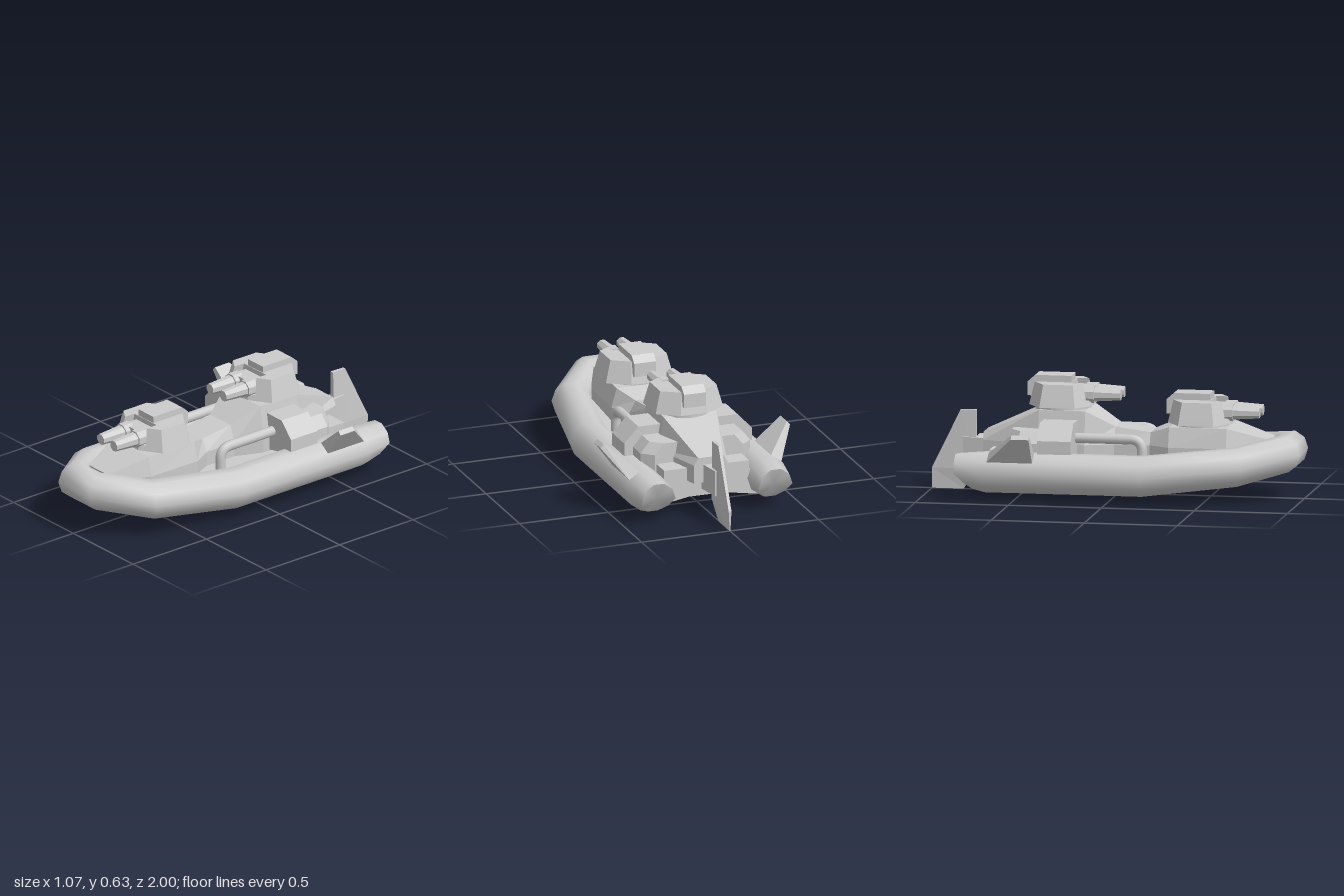
import * as THREE from 'three';

const material = new THREE.MeshStandardMaterial({ color: 0xcccccc });

// Closed solid from rings of [x, y, z]; ends are capped and faces turned outward.
function loft(rings, smooth = false) {
  const n = rings[0].length;
  const pos = rings.flat(2);
  const idx = [];
  for (let r = 0; r < rings.length - 1; r++) {
    for (let i = 0; i < n; i++) {
      const a = r * n + i, b = r * n + (i + 1) % n;
      idx.push(a, b, b + n, a, b + n, a + n);
    }
  }
  // caps get their own vertices so that their edges stay sharp
  [rings[0], rings[rings.length - 1]].forEach((ring, end) => {
    const start = pos.length / 3;
    const mid = [0, 1, 2].map(k => ring.reduce((s, p) => s + p[k], 0) / n);
    pos.push(...ring.flat(), ...mid);
    for (let i = 0; i < n; i++) {
      const a = start + i, b = start + (i + 1) % n;
      idx.push(...(end ? [a, b, start + n] : [b, a, start + n]));
    }
  });
  const at = i => new THREE.Vector3().fromArray(pos, i * 3);
  let volume = 0;
  for (let i = 0; i < idx.length; i += 3) {
    volume += at(idx[i]).dot(at(idx[i + 1]).cross(at(idx[i + 2])));
  }
  if (volume < 0) idx.reverse();
  let g = new THREE.BufferGeometry();
  g.setAttribute('position', new THREE.Float32BufferAttribute(pos, 3));
  g.setIndex(idx);
  if (!smooth) g = g.toNonIndexed();
  g.computeVertexNormals();
  return g;
}

// Plan outline of [x, z] raised from y0 to y1, with the top scaled by s.
function raise(points, y0, y1, s = 1) {
  const shape = new THREE.Shape(points.map(([x, z]) => new THREE.Vector2(x, -z)));
  const g = new THREE.ExtrudeGeometry(shape, { depth: y1 - y0, bevelEnabled: false });
  g.rotateX(-Math.PI / 2);
  const p = g.attributes.position;
  for (let i = 0; i < p.count; i++) {
    if (p.getY(i) > (y1 - y0) / 2) p.setXYZ(i, p.getX(i) * s, p.getY(i), p.getZ(i) * s);
  }
  g.translate(0, y0, 0);
  g.computeVertexNormals();
  return g;
}

function add(parent, name, geometry, x = 0, y = 0, z = 0) {
  const mesh = new THREE.Mesh(geometry, material);
  mesh.name = name;
  mesh.position.set(x, y, z);
  parent.add(mesh);
  return mesh;
}

// Inflated collar: ten-sided rings from one stern end round the bow to the other
function collarGeometry() {
  // x, y, z, outward normal x and z, radius
  const half = [
    [0.33, 0.15, -0.81, 1, 0, 0.094], [0.34, 0.15, -0.65, 1, 0, 0.11],
    [0.34, 0.15, 0.19, 1, 0.07, 0.11], [0.265, 0.2, 0.675, 0.9, 0.43, 0.105],
    [0.09, 0.25, 0.905, 0.41, 0.91, 0.1],
  ];
  const other = half.map(([x, y, z, nx, nz, r]) => [-x, y, z, -nx, nz, r]).reverse();
  return loft([...half, ...other].map(([x, y, z, nx, nz, r]) => {
    const ring = [];
    for (let i = 0; i < 10; i++) {
      const a = i / 10 * Math.PI * 2;
      const out = Math.cos(a) * r, up = Math.sin(a) * r;
      // the stern ends are undercut below the middle
      const cut = z < -0.8 ? Math.max(0, -up) : 0;
      ring.push([x + nx * out, y + up, z + nz * out + cut]);
    }
    return ring;
  }), true);
}

function makeTurret(name, y, z) {
  const turret = new THREE.Group();
  turret.name = name;
  turret.position.set(0, y, z);
  const octagon = [[0.075, 0.17], [0.19, 0.095], [0.19, -0.095], [0.075, -0.17],
    [-0.075, -0.17], [-0.19, -0.095], [-0.19, 0.095], [-0.075, 0.17]];
  const notched = [[0.11, 0.147], [0.19, 0.095], [0.19, -0.095], [0.075, -0.17],
    [-0.075, -0.17], [-0.19, -0.095], [-0.19, 0.095], [-0.11, 0.147],
    [-0.11, 0.07], [0.11, 0.07]];
  add(turret, 'turretRing', new THREE.CylinderGeometry(0.15, 0.15, 0.03, 16), 0, 0.005, 0);
  add(turret, 'turretSill', raise(octagon, 0.015, 0.045, 0.96));
  add(turret, 'turretBody', raise(notched.map(([x, w]) => [x * 0.96, w * 0.96]), 0.045, 0.135, 0.87));
  // raised hatch with a chamfered back
  const profile = [[0.055, 0.13], [0.055, 0.17], [-0.14, 0.17], [-0.18, 0.135], [-0.18, 0.06], [-0.1, 0.06]];
  add(turret, 'hatch', loft([-0.062, 0.062].map(x => profile.map(([w, h]) => [x, h, w]))));
  add(turret, 'gunCradle', new THREE.BoxGeometry(0.15, 0.06, 0.1), 0, 0.08, 0.1);
  for (const x of [-0.055, 0.055]) {
    const gun = (part, r0, r1, length, from) => {
      const g = new THREE.CylinderGeometry(r1, r0, length, 8).rotateY(Math.PI / 8).rotateX(Math.PI / 2).toNonIndexed();
      g.computeVertexNormals();
      add(turret, part, g, x, 0.075, from + length / 2);
    };
    gun('gunCollar', 0.048, 0.048, 0.06, 0.12);
    gun('gunBarrel', 0.04, 0.03, 0.15, 0.17);
  }
  return turret;
}

export function createModel() {
  const boat = new THREE.Group();
  boat.name = 'gunBoat';

  add(boat, 'inflatableCollar', collarGeometry());

  // Hull floor and deck: z, half width, edge, middle and deck heights
  const hull = [[-0.65, 0.32, 0.05, 0.088, 0.2], [0.19, 0.32, 0.05, 0.088, 0.2],
    [0.675, 0.25, 0.098, 0.12, 0.23], [0.9, 0.09, 0.155, 0.155, 0.27]];
  add(boat, 'hull', loft(hull.map(([z, w, edge, mid, deck]) => {
    const m = Math.min(0.1, w * 0.6);
    return [[-w, edge, z], [-m, mid, z], [m, mid, z], [w, edge, z], [w, deck, z], [-w, deck, z]];
  })));

  // Deckhouse with a gun platform at each end: z, top half width, top height, base half width
  const house = [[0.83, 0.08, 0.32, 0.09], [0.61, 0.15, 0.385, 0.175], [0.3, 0.15, 0.385, 0.18],
    [0.19, 0.085, 0.345, 0.12], [0, 0.085, 0.37, 0.12], [-0.15, 0.15, 0.457, 0.18],
    [-0.4, 0.15, 0.457, 0.18], [-0.71, 0.07, 0.32, 0.095]];
  add(boat, 'deckhouse', loft(house.map(([z, top, y, base]) =>
    [[-base, 0.18, z], [base, 0.18, z], [base, 0.28, z], [top, y, z], [-top, y, z], [-base, 0.28, z]])));

  boat.add(makeTurret('frontTurret', 0.385, 0.45));
  boat.add(makeTurret('rearTurret', 0.46, -0.295));

  add(boat, 'sternStep', new THREE.BoxGeometry(0.48, 0.1, 0.14), 0, 0.2, -0.58);

  for (const s of [1, -1]) {
    const side = new THREE.Group();
    side.name = s > 0 ? 'leftSide' : 'rightSide';
    boat.add(side);

    // engine housing and the lower block behind it
    const section = [[0.1, 0.19], [0.36, 0.24], [0.36, 0.325], [0.28, 0.41], [0.1, 0.41]];
    add(side, 'engineHousing', loft([-0.19, -0.37].map(z => section.map(([x, y]) => [s * x, y, z]))));
    const plan = [[0.1, -0.37], [0.31, -0.37], [0.31, -0.48], [0.25, -0.535], [0.1, -0.535]];
    add(side, 'engineRear', loft([[0.19, 0], [0.3, 0], [0.36, 0.05]].map(([y, inset]) =>
      plan.map(([x, z]) => [s * (x > 0.2 ? x - inset : x), y, z]))));

    // intake pipe bending down to the deck
    const pipe = new THREE.CurvePath();
    const v = (y, z) => new THREE.Vector3(s * 0.205, y, z);
    pipe.add(new THREE.LineCurve3(v(0.323, -0.2), v(0.323, 0.1)));
    pipe.add(new THREE.QuadraticBezierCurve3(v(0.323, 0.1), v(0.323, 0.165), v(0.26, 0.165)));
    pipe.add(new THREE.LineCurve3(v(0.26, 0.165), v(0.19, 0.165)));
    add(side, 'intakePipe', new THREE.TubeGeometry(pipe, 32, 0.027, 10));

    // swept fin leaning outward
    add(side, 'fin', loft([
      [[0.37, 0.255, -0.385], [0.43, 0.215, -0.385], [0.43, 0.215, -0.63], [0.37, 0.255, -0.63]],
      [[0.517, 0.377, -0.385], [0.535, 0.357, -0.385], [0.535, 0.357, -0.48], [0.517, 0.377, -0.48]],
    ].map(ring => ring.map(([x, y, z]) => [s * x, y, z]))));
  }

  // Rudder bracket, and a rudder thinning to its trailing and lower edges
  add(boat, 'rudderBracket', raise([[-0.045, -0.69], [0.045, -0.69], [0.02, -0.83], [-0.02, -0.83]], 0.14, 0.28));
  // height, leading and trailing z, half thickness in front and behind
  const rudder = [[0.425, -0.76, -0.845, 0.011, 0.008], [0.11, -0.765, -1, 0.017, 0.008], [0, -0.83, -1, 0.002, 0.002]];
  add(boat, 'rudder', loft(rudder.map(([y, front, back, tf, tb]) =>
    [[-tf, y, front], [tf, y, front], [tb, y, back], [-tb, y, back]])));

  return boat;
}
